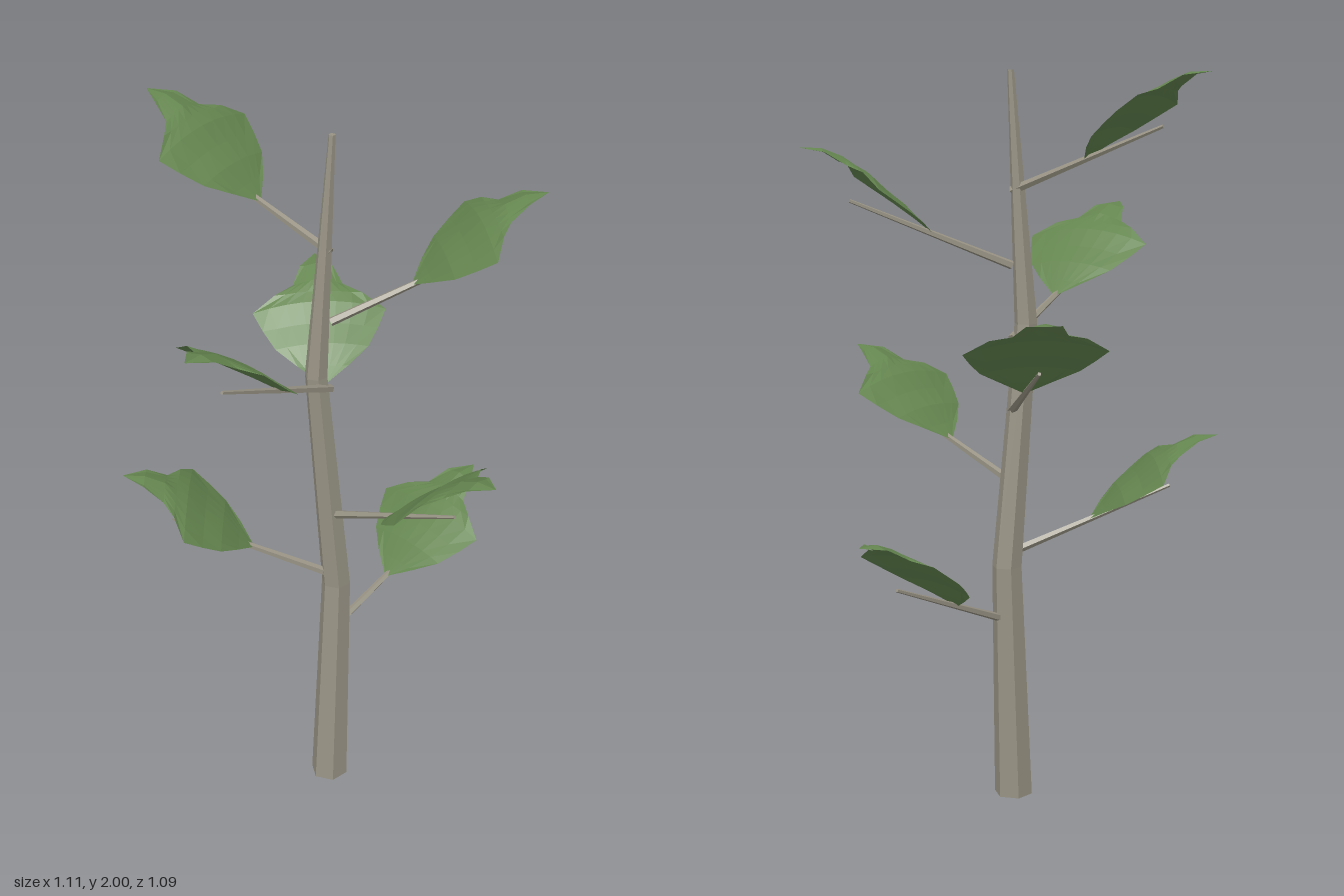
import * as THREE from 'three';

const bark = new THREE.MeshStandardMaterial({ color: 0x989384, flatShading: true });
const green = new THREE.MeshStandardMaterial({ color: 0x64854f, flatShading: true, side: THREE.DoubleSide });

// Six-sided trunk that tapers and bends at two joints
function trunkGeometry() {
  const joints = [ // x, z, radius from the ground up
    [-0.007, 0, 0.053], [0.021, -0.002, 0.041], [-0.03, -0.023, 0.031], [0.01, -0.005, 0.009],
  ];
  const height = 1.99;
  const geo = new THREE.CylinderGeometry(1, 1, height, 6, 3).rotateY(Math.PI / 6).translate(0, height / 2, 0);
  const p = geo.attributes.position;
  for (let i = 0; i < p.count; i++) {
    const [x, z, r] = joints[Math.round(p.getY(i) / height * 3)];
    p.setX(i, x + p.getX(i) * r);
    p.setZ(i, z + p.getZ(i) * r);
  }
  return geo;
}

// Thin stem rising outward along +x
function branchGeometry() {
  const dx = 0.43, dy = 0.18;
  const len = Math.hypot(dx, dy);
  return new THREE.CylinderGeometry(0.005, 0.012, len, 5)
    .translate(0, len / 2, 0)
    .rotateZ(Math.atan2(dy, dx) - Math.PI / 2);
}

// Three-pointed leaf: rows along an arched midrib, drooping to the sides
function leafGeometry() {
  const rows = [ // distance out, midrib height, half width
    [0.212, 0.09, 0.004], [0.25, 0.13, 0.07], [0.293, 0.173, 0.128], [0.34, 0.215, 0.16],
    [0.386, 0.255, 0.185], [0.415, 0.276, 0.122], [0.446, 0.294, 0.07], [0.5, 0.32, 0.045], [0.558, 0.318, 0.001],
  ];
  const cols = 8, pos = [], index = [];
  rows.forEach(([x, y, w], r) => {
    for (let c = 0; c <= cols; c++) {
      const s = c / cols * 2 - 1;
      const z = s * w;
      const droop = 0.9 * z * z + (r > 5 ? 0.2 * Math.abs(z) : 0);
      const ripple = r % 2 && c > 0 && c < cols ? 0.004 : 0;
      pos.push(x, y - droop - ripple, z);
      if (r && c) {
        const d = r * (cols + 1) + c, b = d - cols - 1;
        index.push(b - 1, b, d, b - 1, d, d - 1);
      }
    }
  });
  const geo = new THREE.BufferGeometry();
  geo.setAttribute('position', new THREE.Float32BufferAttribute(pos, 3));
  // Reverse the winding so the upper side faces up
  for (let i = 0; i < index.length; i += 3) [index[i], index[i + 1]] = [index[i + 1], index[i]];
  geo.setIndex(index);
  geo.computeVertexNormals();
  return geo;
}

export function createModel() {
  const model = new THREE.Group();
  model.name = 'sapling';

  const trunk = new THREE.Mesh(trunkGeometry(), bark);
  trunk.name = 'trunk';
  model.add(trunk);

  // Leafy branches spiral up the trunk by the golden angle
  const branchGeo = branchGeometry(), leafGeo = leafGeometry();
  for (let i = 0; i < 7; i++) {
    const shoot = new THREE.Group();
    shoot.name = `shoot${i + 1}`;
    const branch = new THREE.Mesh(branchGeo, bark);
    branch.name = 'branch';
    const leaf = new THREE.Mesh(leafGeo, green);
    leaf.name = 'leaf';
    shoot.add(branch, leaf);
    shoot.position.y = 0.502 + 0.196 * i;
    shoot.rotation.y = THREE.MathUtils.degToRad(137.5 * i + 0.5);
    model.add(shoot);
  }
  return model;
}
